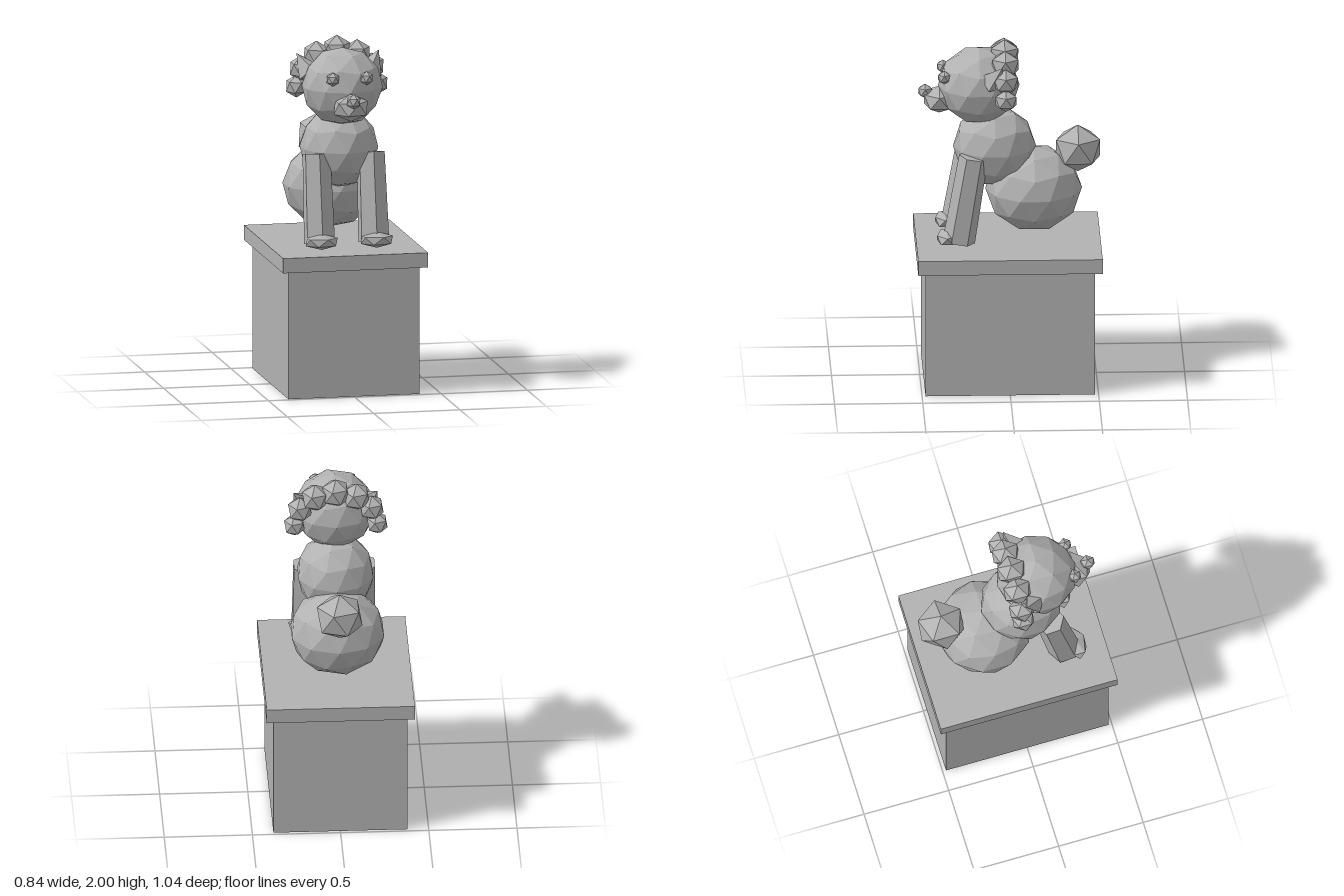
import * as THREE from 'three';

const stone = new THREE.MeshStandardMaterial({ color: 0xb2b2b2 });
stone.name = 'stone grey';
stone.flatShading = true;

export function createModel() {
  const root = new THREE.Group();
  root.name = 'guardianStatue';

  const add = (name, geometry, x, y, z) => {
    const mesh = new THREE.Mesh(geometry, stone);
    mesh.name = name;
    mesh.position.set(x, y, z);
    root.add(mesh);
    return mesh;
  };

  // Faceted ball with a corner pointing straight up, stretched to three radii
  const ball = (name, detail, [rx, ry, rz], x, y, z) => {
    const g = new THREE.IcosahedronGeometry(1, detail);
    g.rotateZ(-Math.atan(2 / (1 + Math.sqrt(5))));
    g.scale(rx, ry, rz);
    g.computeVertexNormals();
    return add(name, g, x, y, z);
  };

  // Pedestal
  add('pedestalBlock', new THREE.BoxGeometry(0.76, 0.74, 0.96), 0, 0.37, 0);
  add('pedestalSlab', new THREE.BoxGeometry(0.84, 0.085, 1.045), 0, 0.7775, 0);

  // Body
  ball('haunches', 1, [0.274, 0.246, 0.274], 0, 1.113, -0.145);
  ball('chest', 1, [0.223, 0.233, 0.235], 0, 1.367, 0.077);
  ball('tail', 0, [0.145, 0.139, 0.147], 0, 1.346, -0.396);

  // Head
  ball('head', 1, [0.231, 0.223, 0.231], 0, 1.732, 0.166);
  ball('muzzle', 0, [0.11, 0.08, 0.1], 0, 1.648, 0.39);
  ball('nose', 0, [0.043, 0.043, 0.045], 0, 1.697, 0.47);

  // Mane: an arch of curls over the head, largest at the top
  for (let i = -3; i <= 3; i++) {
    const a = (i * Math.PI) / 6;
    const r = 0.065 + 0.02 * Math.cos(a);
    ball('maneCurl', 0, [r, r, r * 1.08], 0.235 * Math.sin(a), 1.713 + 0.202 * Math.cos(a), 0.02);
  }

  // Paired parts
  for (const s of [-1, 1]) {
    const side = s > 0 ? 'left' : 'right';
    ball(side + 'Eye', 0, [0.04, 0.04, 0.04], s * 0.098, 1.81, 0.365);

    const ear = add(side + 'Ear', new THREE.ConeGeometry(0.075, 0.14, 4), s * 0.205, 1.855, 0.07);
    ear.rotation.set(-0.5, 0, s * -0.5);

    const leg = add(side + 'FrontLeg', new THREE.CylinderGeometry(0.083, 0.092, 0.51, 6), s * 0.157, 1.103, 0.242);
    leg.rotation.x = -0.165;

    ball(side + 'Paw', 0, [0.104, 0.046, 0.065], s * 0.16, 0.874, 0.352);
  }
  return root;
}
